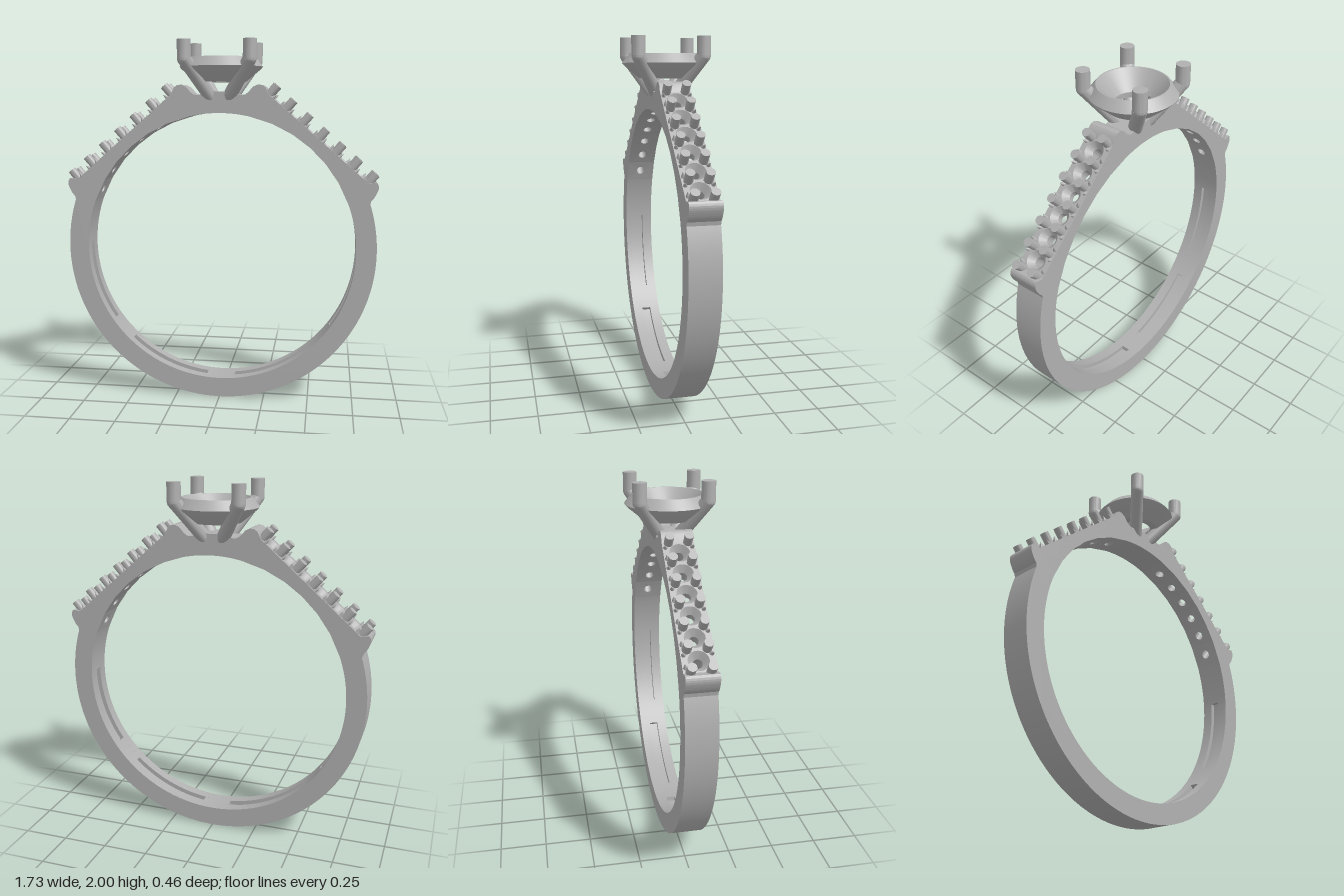
import * as THREE from 'three';
import { toCreasedNormals } from 'three/addons/utils/BufferGeometryUtils.js';

const CY = 0.865, R_IN = 0.75, R_OUT = 0.86, R_SLOT = 0.775; // ring centre and radii
const HALF = 0.082;                   // half width of the band
const SLOPE = 0.815;                  // distance of the shoulder slope from the ring centre
const STEP = 0.119, SEATS = 6, S = (STEP * SEATS) / 2;
const TILT = THREE.MathUtils.degToRad(48.9);
const N = new THREE.Vector2(Math.cos(TILT), Math.sin(TILT));  // slope normal
const D = new THREE.Vector2(-N.y, N.x);                       // direction up the slope

const metal = new THREE.MeshStandardMaterial({ color: 0xb0b0b0 });
metal.name = 'grey metal';

// Point on the right shoulder: s along the slope, h away from the ring centre
const onSlope = (s, h, z = 0) =>
  new THREE.Vector3(D.x * s + N.x * h, CY + D.y * s + N.y * h, z);

function add(group, name, geometry, crease = 0.5) {
  const mesh = new THREE.Mesh(toCreasedNormals(geometry, crease), metal);
  mesh.name = name;
  group.add(mesh);
  return mesh;
}

function extrude(shape, z0, z1) {
  return new THREE.ExtrudeGeometry(shape, { depth: z1 - z0, bevelEnabled: false, curveSegments: 72 })
    .translate(0, 0, z0);
}

// Part of a flat ring between two angles in degrees
function sector(a0, a1, r0, r1, z0, z1) {
  const t0 = THREE.MathUtils.degToRad(a0), t1 = THREE.MathUtils.degToRad(a1);
  const shape = new THREE.Shape();
  shape.absarc(0, CY, r1, t0, t1, false);
  shape.absarc(0, CY, r0, t1, t0, true);
  return extrude(shape, z0, z1);
}

// Round rod from a to b
function rod(group, name, a, b, rBottom, rTop = rBottom, sides = 20) {
  const dir = b.clone().sub(a);
  const mesh = add(group, name, new THREE.CylinderGeometry(rTop, rBottom, dir.length(), sides));
  mesh.position.copy(a).add(b).multiplyScalar(0.5);
  mesh.quaternion.setFromUnitVectors(new THREE.Vector3(0, 1, 0), dir.normalize());
}

// Block of the shoulder with a funnel hole drilled through to the finger side
function seatGeometry(s0) {
  const big = 0.052, small = 0.024, w = STEP / 2;
  const shape = new THREE.Shape([
    new THREE.Vector2(-w, -HALF), new THREE.Vector2(w, -HALF),
    new THREE.Vector2(w, HALF), new THREE.Vector2(-w, HALF),
  ]);
  const hole = new THREE.Path();
  hole.absarc(0, 0, big, 0, Math.PI * 2, true);
  shape.holes.push(hole);
  const geo = new THREE.ExtrudeGeometry(shape, { depth: 1, steps: 2, bevelEnabled: false, curveSegments: 24 });
  const pos = geo.attributes.position;
  for (let i = 0; i < pos.count; i++) {
    let x = pos.getX(i), z = pos.getY(i);
    const t = pos.getZ(i);
    if (t < 0.9 && Math.hypot(x, z) < big + 0.001) {
      x *= small / big;
      z *= small / big;
    }
    const s = s0 + x, floor = Math.sqrt(R_IN * R_IN - s * s);
    const h = t < 0.1 ? floor : t > 0.9 ? SLOPE : Math.max(SLOPE - 0.035, (SLOPE + floor) / 2);
    const p = onSlope(s, h, z);
    pos.setXYZ(i, p.x, p.y, p.z);
  }
  geo.computeVertexNormals();
  return geo;
}

// One shoulder: knuckle, drilled seats and bead prongs
function makeShoulder() {
  const g = new THREE.Group();
  const end = onSlope(-S, SLOPE), inner = onSlope(-S, Math.sqrt(R_IN * R_IN - S * S));
  const knuckle = new THREE.Shape();
  knuckle.moveTo(end.x, end.y);
  knuckle.lineTo(0.848, 1.25);
  knuckle.quadraticCurveTo(0.866, 1.232, 0.856, 1.205);
  knuckle.quadraticCurveTo(0.84, 1.165, 0.822, 1.15);
  knuckle.lineTo(0.818, 1.13);
  knuckle.absarc(0, CY, R_IN, Math.PI / 10, Math.atan2(inner.y - CY, inner.x), false);
  add(g, 'knuckle', extrude(knuckle, -HALF, HALF));

  for (let i = 0; i < SEATS; i++) add(g, 'stoneSeat', seatGeometry(-S + (i + 0.5) * STEP));

  for (let i = 0; i <= SEATS; i++) {
    const s = -S + i * STEP;
    for (const side of [-1, 1]) {
      rod(g, 'beadProng', onSlope(s, SLOPE - 0.03, side * 0.049), onSlope(s, 0.878, side * 0.049), 0.023, 0.023, 16);
      // Small cusps left beside each bead
      for (const k of [-1, 1]) {
        if (Math.abs(s + k * 0.03) > S) continue;
        rod(g, 'cusp', onSlope(s + k * 0.024, SLOPE - 0.012, side * 0.066),
          onSlope(s + k * 0.034, SLOPE + 0.026, side * 0.072), 0.016, 0.001, 8);
      }
    }
  }
  return g;
}

// Raised saddle under the setting, joining both shoulders
function saddleGeometry() {
  const a = onSlope(S, SLOPE), b = onSlope(S, Math.sqrt(R_IN * R_IN - S * S));
  const half = [[a.x, a.y], [0.248, 1.752], [0.232, 1.764], [0.208, 1.767], [0.182, 1.755],
    [0.158, 1.727], [0.14, 1.714], [0.12, 1.711], [0.085, 1.72], [0.045, 1.729]];
  const shape = new THREE.Shape();
  shape.moveTo(...half[0]);
  half.slice(1).forEach(([x, y]) => shape.lineTo(x, y));
  half.slice().reverse().forEach(([x, y]) => shape.lineTo(-x, y));
  const t = Math.atan2(b.y - CY, b.x);
  shape.absarc(0, CY, R_IN, Math.PI - t, t, true);
  return extrude(shape, -HALF, HALF);
}

export function createModel() {
  const model = new THREE.Group();
  model.name = 'ring';

  // Lower band, with four slots sunk into its inner wall
  const band = new THREE.Group();
  band.name = 'band';
  const slot = 0.025;
  add(band, 'bandOuter', sector(162, 378, R_SLOT, R_OUT, -HALF, HALF));
  add(band, 'innerRimFront', sector(162, 378, R_IN, R_SLOT, slot, HALF));
  add(band, 'innerRimBack', sector(162, 378, R_IN, R_SLOT, -HALF, -slot));
  for (const [a, b] of [[162, 179], [215, 227], [264, 276], [313, 325], [361, 378]])
    add(band, 'slotBridge', sector(a, b, R_IN, R_SLOT, -slot, slot));
  add(band, 'saddle', saddleGeometry());
  model.add(band);

  // Shoulders
  const left = makeShoulder();
  left.name = 'leftShoulder';
  const right = makeShoulder();
  right.name = 'rightShoulder';
  right.rotation.y = Math.PI;
  model.add(left, right);

  // Setting: open cup held by four bent claws
  const setting = new THREE.Group();
  setting.name = 'setting';
  const cup = [[0.095, 1.785], [0.135, 1.782], [0.215, 1.848], [0.228, 1.863], [0.187, 1.913],
    [0.18, 1.913], [0.095, 1.815], [0.095, 1.785]].map(([x, y]) => new THREE.Vector2(x, y));
  add(setting, 'cup', new THREE.LatheGeometry(cup, 64), 0.4);
  for (const x of [-1, 1]) {
    for (const z of [-1, 1]) {
      const at = (r, y) => new THREE.Vector3(x * r, y, z * r);
      const bend = at(0.174, 1.9);
      rod(setting, 'clawTip', bend, at(0.174, 2), 0.037);
      rod(setting, 'clawLeg', at(0.04, 1.685), bend, 0.037);
      add(setting, 'clawBend', new THREE.SphereGeometry(0.037, 20, 12)).position.copy(bend);
    }
  }
  model.add(setting);
  return model;
}
